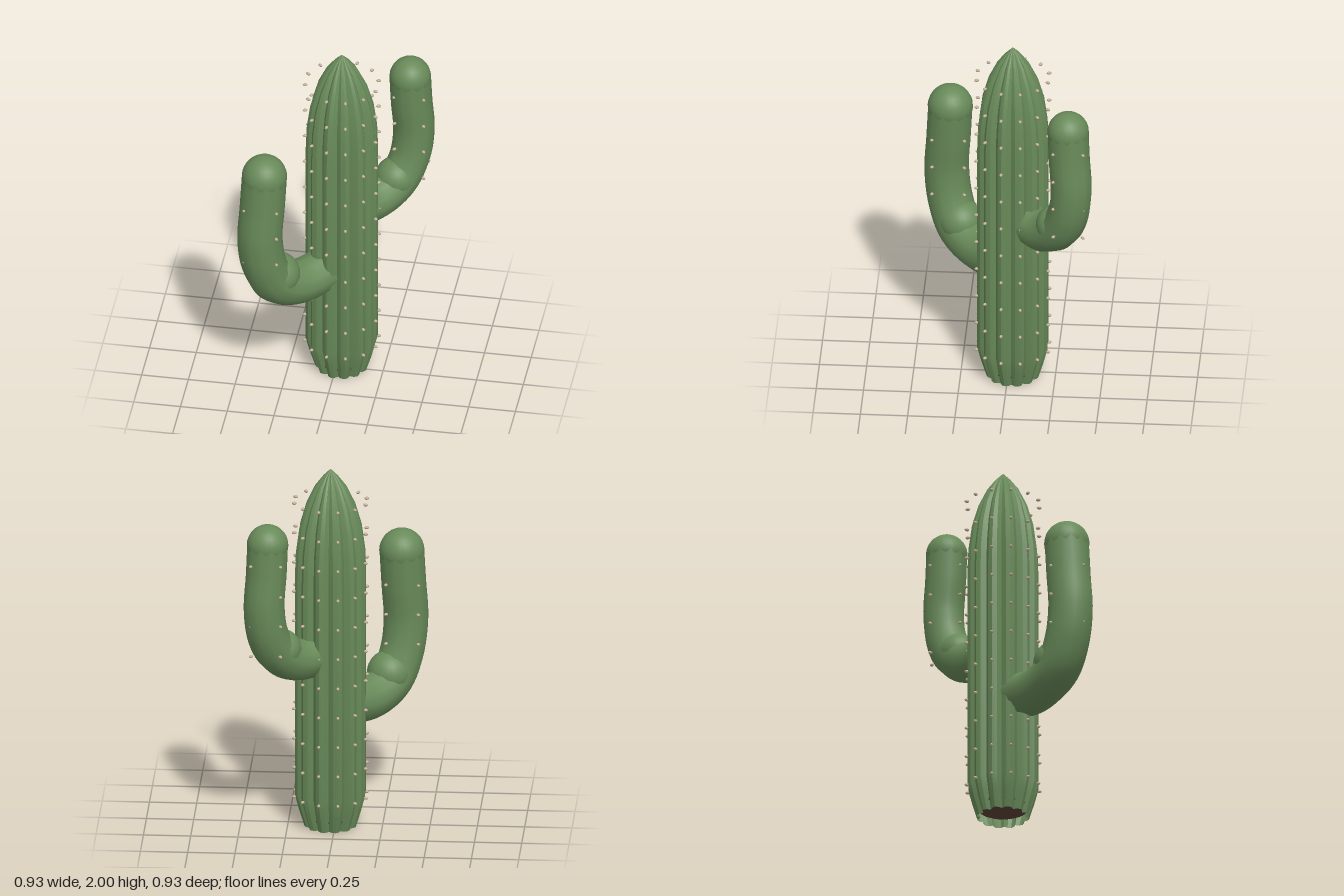
import * as THREE from 'three';
import { toCreasedNormals } from 'three/addons/utils/BufferGeometryUtils.js';

const material = (name, color, side = THREE.FrontSide) => {
  const m = new THREE.MeshStandardMaterial({ color, side });
  m.name = name;
  return m;
};
const green = material('cactus green', 0x688a59, THREE.DoubleSide);
const tan = material('spine tan', 0xc4b098);
const brown = material('base brown', 0x5c4238);

const CX = 0.025, CZ = -0.025, RIBS = 12;
const DIAG = Math.SQRT1_2;

function add(parent, name, geometry, mat, x = 0, y = 0, z = 0) {
  const mesh = new THREE.Mesh(geometry, mat);
  mesh.name = name;
  mesh.position.set(x, y, z);
  parent.add(mesh);
  return mesh;
}

// Lathe with sharp valleys pressed in between rounded ribs
function trunkGeometry() {
  const profile = [
    [0.14, 0], [0.168, 0.09], [0.192, 0.18], [0.192, 1.4], [0.187, 1.54],
    [0.168, 1.68], [0.133, 1.8], [0.085, 1.9], [0.04, 1.96], [0.0005, 2],
  ].map(([r, y]) => new THREE.Vector2(r, y));
  const geo = new THREE.LatheGeometry(profile, RIBS * 4);
  const p = geo.attributes.position;
  for (let i = 0; i < p.count; i++) {
    const a = Math.atan2(p.getZ(i), p.getX(i)) - Math.PI / RIBS;
    const k = 0.84 + 0.16 * Math.abs(Math.cos(a * RIBS / 2));
    p.setX(i, p.getX(i) * k);
    p.setZ(i, p.getZ(i) * k);
  }
  return toCreasedNormals(geo, 0.35);
}

// Spine pointing outward at angle a
const spineGeometry = new THREE.SphereGeometry(0.01, 8, 6);
function addSpine(parent, x, y, z, a) {
  const spine = add(parent, 'spine', spineGeometry, tan, x, y, z);
  spine.scale.set(1.3, 0.85, 0.85);
  spine.rotation.y = -a;
}

// Arm along the diagonal: path is [distance along diagonal, height]
function makeArm(name, { path, radius, elbow, spineCentre, spineRows }) {
  const arm = new THREE.Group();
  arm.name = name;
  const at = ([s, y]) => new THREE.Vector3(s * DIAG, y, -s * DIAG);
  const curve = new THREE.CatmullRomCurve3(path.map(at));
  add(arm, 'armTube', new THREE.TubeGeometry(curve, 40, radius, 12), green);

  const ball = new THREE.SphereGeometry(radius, 24, 16);
  add(arm, 'armTip', ball, green).position.copy(at(path[path.length - 1]));
  add(arm, 'elbowBulge', ball, green).position.copy(at(elbow));

  const c = at([spineCentre, 0]);
  for (const y of spineRows) {
    for (let i = 0; i < 4; i++) {
      const a = (i + 0.5) * Math.PI / 2;
      addSpine(arm, c.x + Math.cos(a) * radius, y, c.z + Math.sin(a) * radius, a);
    }
  }
  return arm;
}

export function createModel() {
  const cactus = new THREE.Group();
  cactus.name = 'cactus';

  add(cactus, 'trunk', trunkGeometry(), green, CX, 0, CZ);
  // Plug recessed in the open bottom
  add(cactus, 'basePlug', new THREE.CylinderGeometry(0.135, 0.135, 0.02, 24), brown, CX, 0.06, CZ);

  // Rows of spines, one on each rib
  const trunkSpines = new THREE.Group();
  trunkSpines.name = 'trunkSpines';
  cactus.add(trunkSpines);
  for (let row = 0; row < 11; row++) {
    for (let i = 0; i < RIBS; i++) {
      const a = (i + 0.5) * 2 * Math.PI / RIBS;
      addSpine(trunkSpines, CX + Math.cos(a) * 0.195, 0.17 + row * 0.165, CZ + Math.sin(a) * 0.195, a);
    }
  }

  cactus.add(makeArm('leftArm', {
    path: [[0.06, 1.0], [0.26, 0.98], [0.4, 1.05], [0.475, 1.17], [0.502, 1.33], [0.487, 1.52], [0.478, 1.68]],
    radius: 0.11, elbow: [0.385, 1.07], spineCentre: 0.485, spineRows: [1.08, 1.25, 1.415, 1.585],
  }));
  cactus.add(makeArm('rightArm', {
    path: [[-0.03, 0.67], [-0.24, 0.652], [-0.39, 0.715], [-0.465, 0.85], [-0.495, 1.03], [-0.48, 1.23], [-0.466, 1.42]],
    radius: 0.12, elbow: [-0.38, 0.755], spineCentre: -0.475, spineRows: [0.92, 1.085, 1.25],
  }));
  return cactus;
}
